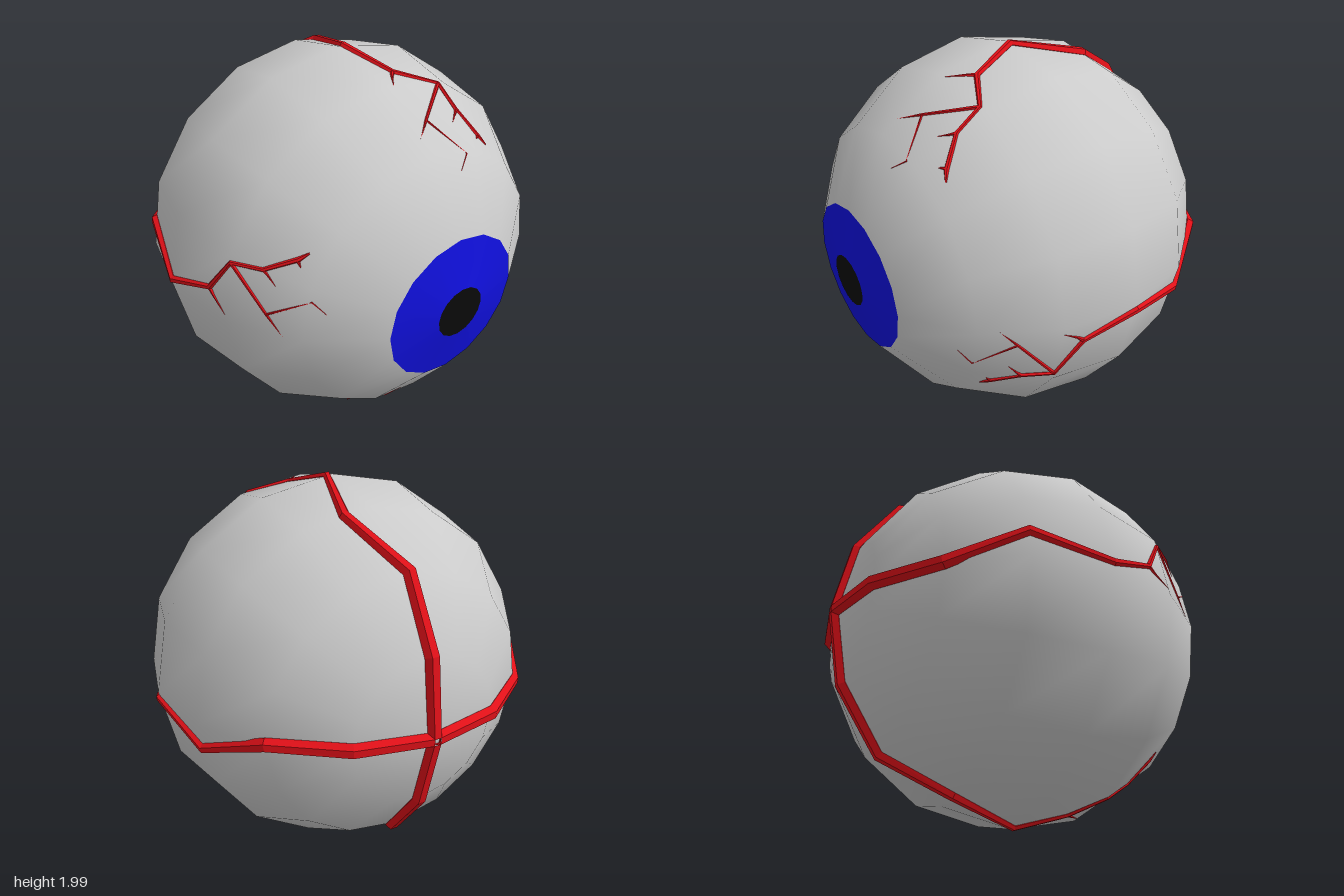
import * as THREE from 'three';

const R = 0.982, CZ = 0.025, STEP = Math.PI / 8;
const mat = (color, extra = {}) => new THREE.MeshStandardMaterial({ color, ...extra });

// Radius of the faceted ball at depth z (linear between its rings)
function ringRadius(z) {
  const a = Math.acos(THREE.MathUtils.clamp((z - CZ) / R, -1, 1));
  const k = Math.min(Math.floor(a / STEP + 1e-6), 7);
  const z0 = R * Math.cos(k * STEP), z1 = R * Math.cos((k + 1) * STEP);
  const t = (z - CZ - z0) / (z1 - z0);
  return R * THREE.MathUtils.lerp(Math.sin(k * STEP), Math.sin((k + 1) * STEP), t);
}

// Point on the top of the faceted ball at sideways offset u and depth z
function onBall(u, z) {
  const r = ringRadius(z), a = Math.abs(u);
  const y = Math.min(r - a * Math.tan(STEP / 2),
    r * Math.cos(STEP) - (a - r * Math.sin(STEP)) * Math.tan(STEP * 1.5));
  return new THREE.Vector3(u, y, z);
}

// Tapered six-sided tube through [u, z, radius] points lying on the ball
function veinGeometry(path) {
  const sides = 6, pos = [], index = [], centre = new THREE.Vector3(0, 0, CZ);
  const pts = path.map(([u, z]) => onBall(u, z));
  pts.forEach((p, i) => {
    const t = new THREE.Vector3();
    if (i > 0) t.add(p.clone().sub(pts[i - 1]).normalize());
    if (i < pts.length - 1) t.add(pts[i + 1].clone().sub(p).normalize());
    t.normalize();
    const up = p.clone().sub(centre);
    up.addScaledVector(t, -up.dot(t)).normalize();
    const side = up.clone().cross(t);
    for (let j = 0; j < sides; j++) {
      const a = (j / sides) * Math.PI * 2;
      const v = p.clone().addScaledVector(side, Math.cos(a) * path[i][2])
        .addScaledVector(up, Math.sin(a) * path[i][2]);
      pos.push(v.x, v.y, v.z);
      if (i === pts.length - 1) continue;
      const k = (j + 1) % sides, b = i * sides, c = b + sides;
      index.push(b + j, b + k, c + k, b + j, c + k, c + j);
    }
  });
  const g = new THREE.BufferGeometry();
  g.setAttribute('position', new THREE.Float32BufferAttribute(pos, 3));
  g.setIndex(index);
  g.computeVertexNormals();
  return g;
}

// One vein: trunk from the back pole, then its forks
const VEIN = {
  veinTrunk: [[0, -0.955, 0.036], [-0.01, -0.882, 0.038], [-0.015, -0.67, 0.036], [0.135, -0.351, 0.028],
    [0.03, 0.025, 0.021], [0.122, 0.285, 0.015], [0.305, 0.402, 0.011], [0.307, 0.53, 0.011],
    [0.37, 0.63, 0.012], [0.4, 0.655, 0.004]],
  upperSpur: [[0.122, 0.285, 0.012], [0.09, 0.32, 0.007], [0.035, 0.4, 0.001]],
  middleSpur: [[0.307, 0.53, 0.01], [0.285, 0.55, 0.006], [0.24, 0.585, 0.001]],
  endSpur: [[0.37, 0.625, 0.01], [0.34, 0.65, 0.002]],
  longBranch: [[0.305, 0.402, 0.01], [0.09, 0.565, 0.007], [-0.005, 0.64, 0.001]],
  thinBranch: [[0.09, 0.565, 0.006], [0.203, 0.725, 0.004], [0.135, 0.767, 0.001]],
};

export function createModel() {
  const model = new THREE.Group();
  const eye = new THREE.Group();
  eye.name = 'eye';
  eye.position.y = 1;
  model.add(eye);
  const add = (parent, name, geometry, material) => {
    const m = new THREE.Mesh(geometry, material);
    m.name = name;
    parent.add(m);
    return m;
  };

  // White ball, open at the front where the iris sits
  const ball = new THREE.SphereGeometry(R, 16, 7, 0, Math.PI * 2, STEP, Math.PI - STEP);
  add(eye, 'eyeball', ball.rotateX(Math.PI / 2).translate(0, 0, CZ), mat(0xcccccc));

  // Iris as a shallow cone ring, pupil as a flat disc
  const irisR = R * Math.sin(STEP), irisZ = CZ + R * Math.cos(STEP);
  const pupilR = 0.132, pupilZ = 0.981, h = pupilZ - irisZ;
  const iris = new THREE.CylinderGeometry(pupilR, irisR, h, 16, 1, true);
  add(eye, 'iris', iris.rotateX(Math.PI / 2).translate(0, 0, irisZ + h / 2), mat(0x1010dd));
  add(eye, 'pupil', new THREE.CircleGeometry(pupilR, 16).translate(0, 0, pupilZ), mat(0x0a0a0a));

  // Four identical veins around the front-to-back axis
  const red = mat(0xe01018, { flatShading: true, side: THREE.DoubleSide });
  const parts = Object.entries(VEIN).map(([name, path]) => [name, veinGeometry(path)]);
  for (let i = 0; i < 4; i++) {
    const vein = new THREE.Group();
    vein.name = 'vein';
    vein.rotation.z = (-i * Math.PI) / 2;
    parts.forEach(([name, g]) => add(vein, name, g, red));
    eye.add(vein);
  }
  return model;
}
